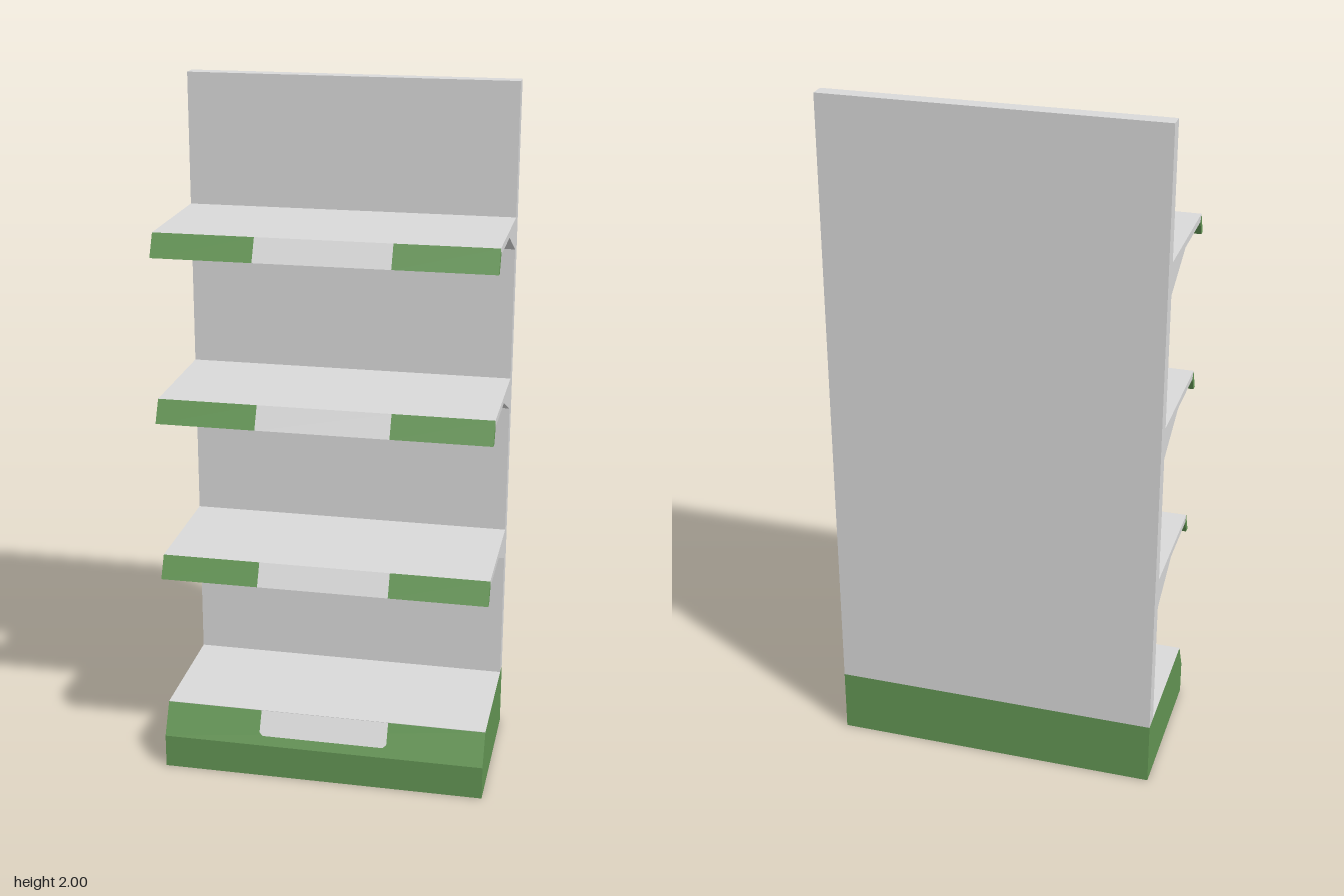
import * as THREE from 'three';

const HALF = 0.475;        // half width of the unit
const BACK = -0.238;       // rear plane
const PANEL_FRONT = -0.192;
const LABEL = 0.19;        // half width of the label strips
const BASE_TOP = 0.19;

// Extrudes a side profile of [z, y] points from x0 to x1
function profile(name, points, x0, x1, material) {
  const shape = new THREE.Shape(points.map(([z, y]) => new THREE.Vector2(z, y)));
  const geometry = new THREE.ExtrudeGeometry(shape, { depth: x1 - x0, bevelEnabled: false });
  geometry.rotateY(-Math.PI / 2).translate(x1, 0, 0);
  const mesh = new THREE.Mesh(geometry, material);
  mesh.name = name;
  return mesh;
}

export function createModel() {
  const grey = new THREE.MeshStandardMaterial({ color: 0xd9d9d9 });
  grey.name = 'light grey';
  const green = new THREE.MeshStandardMaterial({ color: 0x639554 });
  green.name = 'green';

  const model = new THREE.Group();
  model.name = 'shelfUnit';

  // Plinth with a sloped front edge
  model.add(profile('base', [
    [BACK, 0], [0.238, 0], [0.238, 0.1], [0.19, BASE_TOP], [BACK, BASE_TOP],
  ], -HALF, HALF, green));

  // Grey deck on the plinth
  const deck = new THREE.Mesh(new THREE.BoxGeometry(HALF * 2, 0.001, 0.19 - PANEL_FRONT), grey);
  deck.name = 'baseDeck';
  deck.position.set(0, BASE_TOP + 0.0005, (0.19 + PANEL_FRONT) / 2);
  model.add(deck);

  // Label on the slope, with clipped lower corners
  const h = 0.074, c = 0.01;
  const labelShape = new THREE.Shape([
    [-LABEL, 0], [-LABEL, c - h], [c - LABEL, -h], [LABEL - c, -h], [LABEL, c - h], [LABEL, 0],
  ].map(([x, y]) => new THREE.Vector2(x, y)));
  const label = new THREE.Mesh(
    new THREE.ExtrudeGeometry(labelShape, { depth: 0.001, bevelEnabled: false }), grey);
  label.name = 'baseLabel';
  label.rotation.x = -Math.atan2(0.048, 0.09);
  label.position.set(0, BASE_TOP, 0.19);
  model.add(label);

  // Back panel
  const panel = new THREE.Mesh(
    new THREE.BoxGeometry(HALF * 2, 2 - BASE_TOP, PANEL_FRONT - BACK), grey);
  panel.name = 'backPanel';
  panel.position.set(0, (2 + BASE_TOP) / 2, (BACK + PANEL_FRONT) / 2);
  model.add(panel);

  // Three shelves, each with a slanted lip and a bracket at either end
  [0.668, 1.144, 1.62].forEach((top) => {
    const shelf = new THREE.Group();
    shelf.name = 'shelf';
    const under = top - 0.02;
    shelf.add(profile('shelfBoard', [
      [PANEL_FRONT, under], [0.179, under], [0.19, top], [PANEL_FRONT, top],
    ], -HALF, HALF, grey));

    const lip = [[0.179, under], [0.202, top - 0.064], [0.222, top - 0.064], [0.19, top]];
    shelf.add(
      profile('lipRight', lip, -HALF, -LABEL, green),
      profile('lipLabel', lip, -LABEL, LABEL, grey),
      profile('lipLeft', lip, LABEL, HALF, green),
    );

    const bracket = [[PANEL_FRONT, top - 0.092], [-0.024, under], [PANEL_FRONT, under]];
    shelf.add(
      profile('bracketRight', bracket, -HALF, -0.43, grey),
      profile('bracketLeft', bracket, 0.43, HALF, grey),
    );
    model.add(shelf);
  });

  return model;
}
